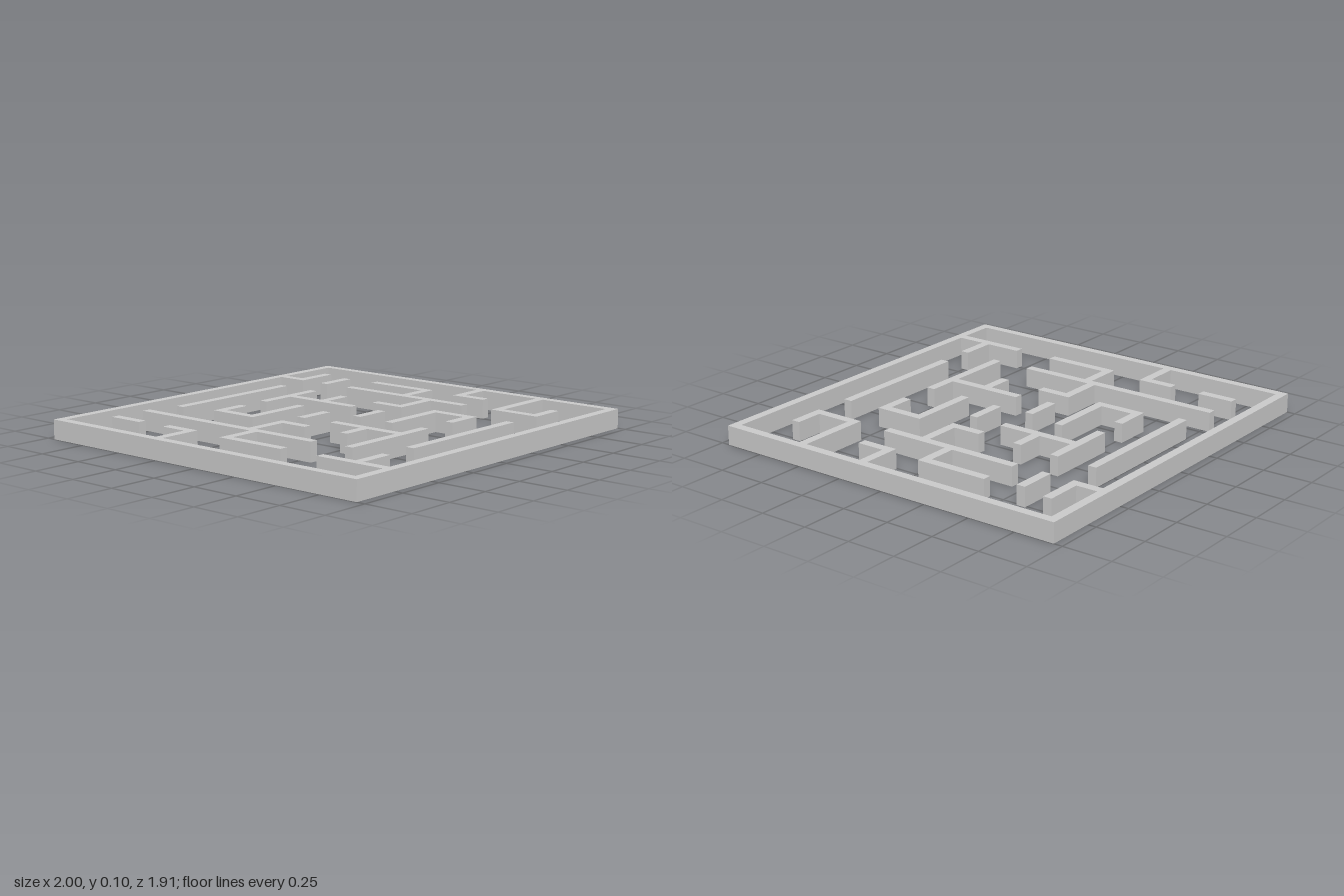
import * as THREE from 'three';

const H = 0.098;  // wall height
const T = 0.045;  // wall thickness
const W = 1, D = 0.956; // half width and half depth

// 'h' wall: [z, x0, x1] runs along x; 'v' wall: [x, z0, z1] runs along z
const parts = {
  leftBackStub: [['v', -0.752, -0.79, -0.6]],
  longLeftWall: [
    ['v', -0.549, -0.788, 0.317],
    ['h', -0.089, -0.527, -0.297], ['v', -0.32, -0.067, 0.074],
    ['h', -0.041, -0.774, -0.571], ['v', -0.752, -0.019, 0.317],
  ],
  leftSideHook: [['h', -0.272, -0.955, -0.774], ['v', -0.752, -0.437, -0.25]],
  backStraightWall: [['h', -0.729, -0.375, 0.39]],
  backHook: [['v', 0.592, -0.911, -0.754], ['h', -0.777, 0.614, 0.8]],
  rightBackStub: [['h', -0.606, 0.57, 0.762]],
  backBracket: [
    ['h', -0.51, -0.335, -0.147], ['v', -0.313, -0.488, -0.315],
    ['h', -0.293, -0.335, 0.043],
  ],
  branchedTee: [
    ['h', -0.512, 0, 0.382], ['v', 0.198, -0.49, -0.081],
    ['h', -0.29, 0.22, 0.367],
  ],
  centreStub: [['h', -0.089, -0.185, 0.002]],
  middleStub: [['h', 0.098, 0.011, 0.2]],
  longRightWall: [
    ['v', 0.583, -0.44, 0.317],
    ['h', -0.073, 0.605, 0.754], ['v', 0.776, -0.429, -0.051],
    ['h', 0.098, 0.373, 0.561], ['v', 0.351, -0.068, 0.12],
  ],
  rightSideHook: [['h', 0.14, 0.753, 0.955], ['v', 0.776, 0.162, 0.307]],
  frontTee: [
    ['v', -0.164, 0.098, 0.499], ['h', 0.307, -0.33, -0.186],
    ['h', 0.521, -0.543, 0.008],
  ],
  frontBracket: [
    ['h', 0.307, 0, 0.382], ['v', 0.359, 0.329, 0.499],
    ['h', 0.521, 0.193, 0.382],
  ],
  cornerBracket: [
    ['h', 0.513, 0.575, 0.955], ['v', 0.597, 0.535, 0.718],
    ['h', 0.74, 0.575, 0.762],
  ],
  frontStraightWall: [['h', 0.738, -0.375, 0.39]],
  frontLeftBranch: [['v', -0.752, 0.532, 0.911], ['h', 0.743, -0.73, -0.549]],
};

export function createModel() {
  const model = new THREE.Group();
  model.name = 'maze';
  const material = new THREE.MeshStandardMaterial({ color: 0xcccccc, flatShading: true });

  // Outer frame: one rectangle with a rectangular opening
  const rect = (Path, w, d) => new Path([
    new THREE.Vector2(-w, -d), new THREE.Vector2(w, -d),
    new THREE.Vector2(w, d), new THREE.Vector2(-w, d),
  ]);
  const outline = rect(THREE.Shape, W, D);
  outline.holes.push(rect(THREE.Path, W - T, D - T));
  const frameGeometry = new THREE.ExtrudeGeometry(outline, { depth: H, bevelEnabled: false });
  frameGeometry.rotateX(-Math.PI / 2);
  const frame = new THREE.Mesh(frameGeometry, material);
  frame.name = 'outerFrame';
  model.add(frame);

  // Inner walls, one group for each connected piece
  for (const [name, walls] of Object.entries(parts)) {
    const piece = new THREE.Group();
    piece.name = name;
    for (const [dir, at, from, to] of walls) {
      const along = dir === 'h', length = to - from, mid = (from + to) / 2;
      const wall = new THREE.Mesh(
        new THREE.BoxGeometry(along ? length : T, H, along ? T : length), material);
      wall.position.set(along ? mid : at, H / 2, along ? at : mid);
      wall.name = 'wall';
      piece.add(wall);
    }
    model.add(piece);
  }
  return model;
}
